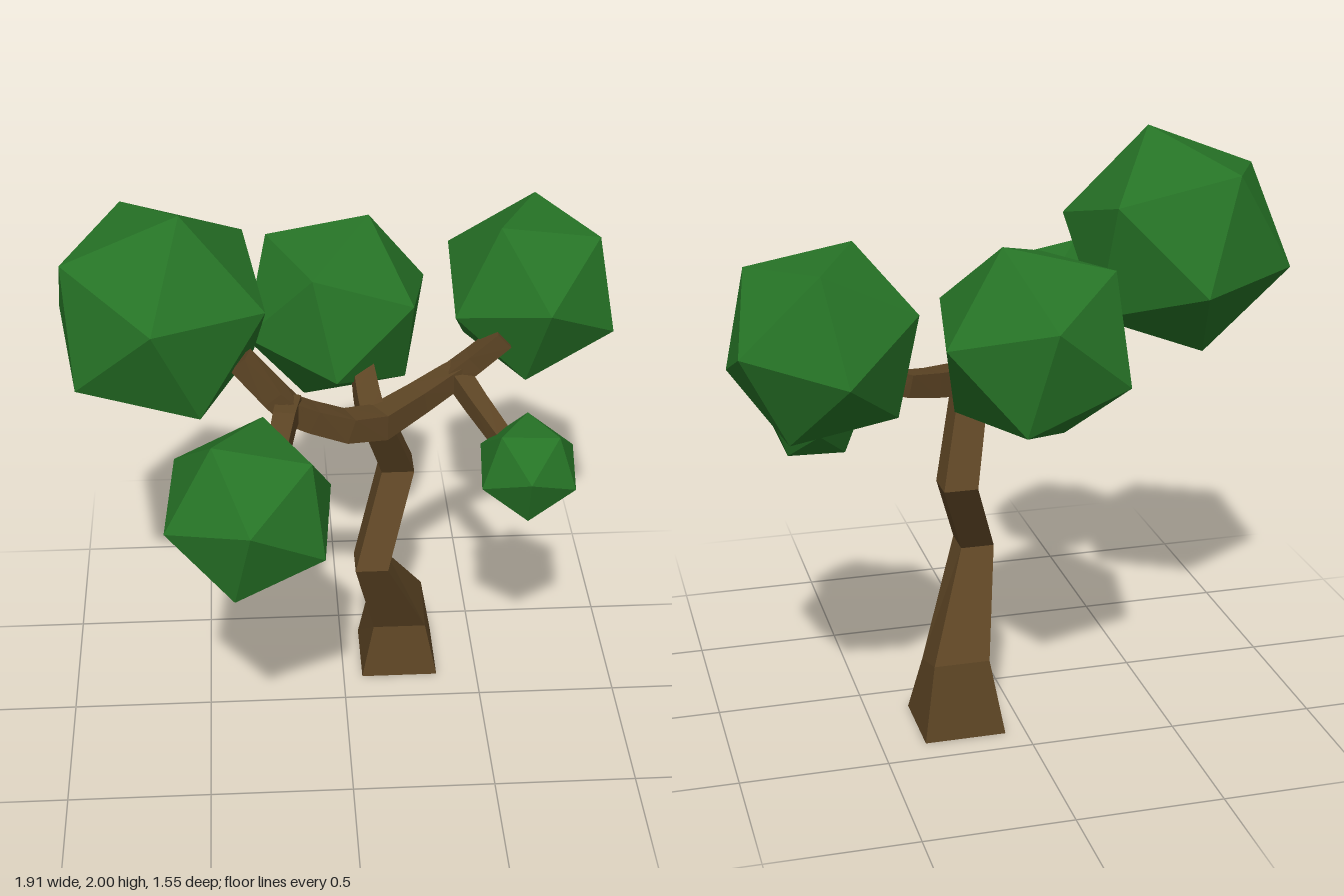
import * as THREE from 'three';

const bark = new THREE.MeshStandardMaterial({ color: 0x5c4424, flatShading: true });
const leaf = new THREE.MeshStandardMaterial({ color: 0x267326, flatShading: true });
const V = (p) => new THREE.Vector3(p[0], p[1], p[2]);

// Square-section limb through rings [x, y, z, halfWidth, tilt];
// level rings stay horizontal, others follow the path.
function limb(name, rings, level = false) {
  const pos = [], index = [];
  const pts = rings.map(V);
  rings.forEach(([, , , h, tilt = 0], i) => {
    const t = level ? new THREE.Vector3(0, 1, 0)
      : pts[Math.min(i + 1, pts.length - 1)].clone().sub(pts[Math.max(i - 1, 0)]).normalize();
    const u = level ? new THREE.Vector3(1, 0, 0)
      : new THREE.Vector3().crossVectors(t, new THREE.Vector3(0, 1, 0)).normalize();
    const v = new THREE.Vector3().crossVectors(t, u);
    for (const [a, b] of [[1, 1], [-1, 1], [-1, -1], [1, -1]]) {
      const p = pts[i].clone().addScaledVector(u, a * h).addScaledVector(v, b * h);
      p.y += tilt * b;
      pos.push(p.x, p.y, p.z);
    }
    if (i === 0) return;
    for (let k = 0; k < 4; k++) {
      const a = (i - 1) * 4 + k, b = (i - 1) * 4 + (k + 1) % 4;
      index.push(a, b, b + 4, a, b + 4, a + 4);
    }
  });
  const e = (rings.length - 1) * 4;
  index.push(0, 2, 1, 0, 3, 2, e, e + 1, e + 2, e, e + 2, e + 3);
  const indexed = new THREE.BufferGeometry();
  indexed.setAttribute('position', new THREE.Float32BufferAttribute(pos, 3));
  indexed.setIndex(index);
  const geo = indexed.toNonIndexed();
  geo.computeVertexNormals();
  const mesh = new THREE.Mesh(geo, bark);
  mesh.name = name;
  return mesh;
}

// Orthonormal frame from two directions
function frame(a, b) {
  const x = a.clone().normalize();
  const z = new THREE.Vector3().crossVectors(x, b).normalize();
  return new THREE.Matrix4().makeBasis(x, new THREE.Vector3().crossVectors(z, x), z);
}

// Icosahedral leaf clump, turned so that two adjacent corners point along a and b
function clump(name, centre, radius, a, b) {
  const t = (1 + Math.sqrt(5)) / 2;
  const rest = frame(new THREE.Vector3(1, t, 0), new THREE.Vector3(-1, t, 0)).invert();
  const mesh = new THREE.Mesh(new THREE.IcosahedronGeometry(radius, 0), leaf);
  mesh.quaternion.setFromRotationMatrix(frame(V(a), V(b)).multiply(rest));
  mesh.position.set(...centre);
  mesh.name = name;
  return mesh;
}

export function createModel() {
  const tree = new THREE.Group();
  tree.name = 'tree';

  // Crooked trunk with a flared foot
  tree.add(limb('trunk', [
    [0.21, 0, -0.26, 0.14],
    [0.21, 0.23, -0.258, 0.096, 0.03],
    [0.094, 0.58, -0.056, 0.058],
    [0.198, 0.873, -0.25, 0.058],
    [0.11, 1.17, -0.085, 0.052],
  ], true));

  // Bough crossing the top of the trunk, then its forks
  tree.add(limb('mainBough', [
    [-0.22, 1.33, 0.08, 0.04],
    [-0.12, 1.27, 0.055, 0.042],
    [0.0, 1.205, 0.015, 0.045],
    [0.12, 1.175, -0.05, 0.048],
    [0.26, 1.205, -0.15, 0.042],
    [0.37, 1.235, -0.225, 0.038],
    [0.43, 1.26, -0.245, 0.037],
  ]));
  tree.add(limb('upperRightTwig', [[-0.18, 1.3, 0.07, 0.04], [-0.24, 1.37, 0.07, 0.038], [-0.35, 1.49, 0.04, 0.036]]));
  tree.add(limb('frontRightTwig', [[-0.19, 1.32, 0.05, 0.04], [-0.21, 1.315, 0.15, 0.037], [-0.235, 1.28, 0.28, 0.034]]));
  tree.add(limb('upperLeftTwig', [[0.38, 1.235, -0.235, 0.037], [0.46, 1.3, -0.24, 0.036], [0.56, 1.39, -0.24, 0.035]]));
  tree.add(limb('frontLeftTwig', [[0.4, 1.245, -0.24, 0.036], [0.46, 1.19, -0.13, 0.033], [0.54, 1.12, 0.0, 0.03]]));
  tree.add(limb('backTwig', [[0.1, 1.14, -0.06, 0.044], [0.08, 1.23, -0.15, 0.04], [0.07, 1.29, -0.23, 0.036]]));

  // Leaf clumps
  tree.add(clump('largeRightLeaves', [-0.61, 1.62, -0.08], 0.396, [-0.015, 0.105, 0.38], [0.08, 0.38, 0.08]));
  tree.add(clump('backLeaves', [-0.01, 1.415, -0.447], 0.353, [0.116, 0.331, -0.04], [0.01, 0.116, -0.333]));
  tree.add(clump('leftLeaves', [0.676, 1.471, -0.452], 0.334, [0.028, 0.053, 0.329], [-0.126, 0.286, 0.118]));
  tree.add(clump('frontRightLeaves', [-0.335, 1.196, 0.48], 0.303, [0.002, 0.084, 0.29], [-0.114, 0.28, 0.06]));
  tree.add(clump('smallLeftLeaves', [0.617, 1.067, 0.09], 0.186, [-0.012, 0.04, 0.18], [0.1, 0.155, 0.05]));
  return tree;
}
